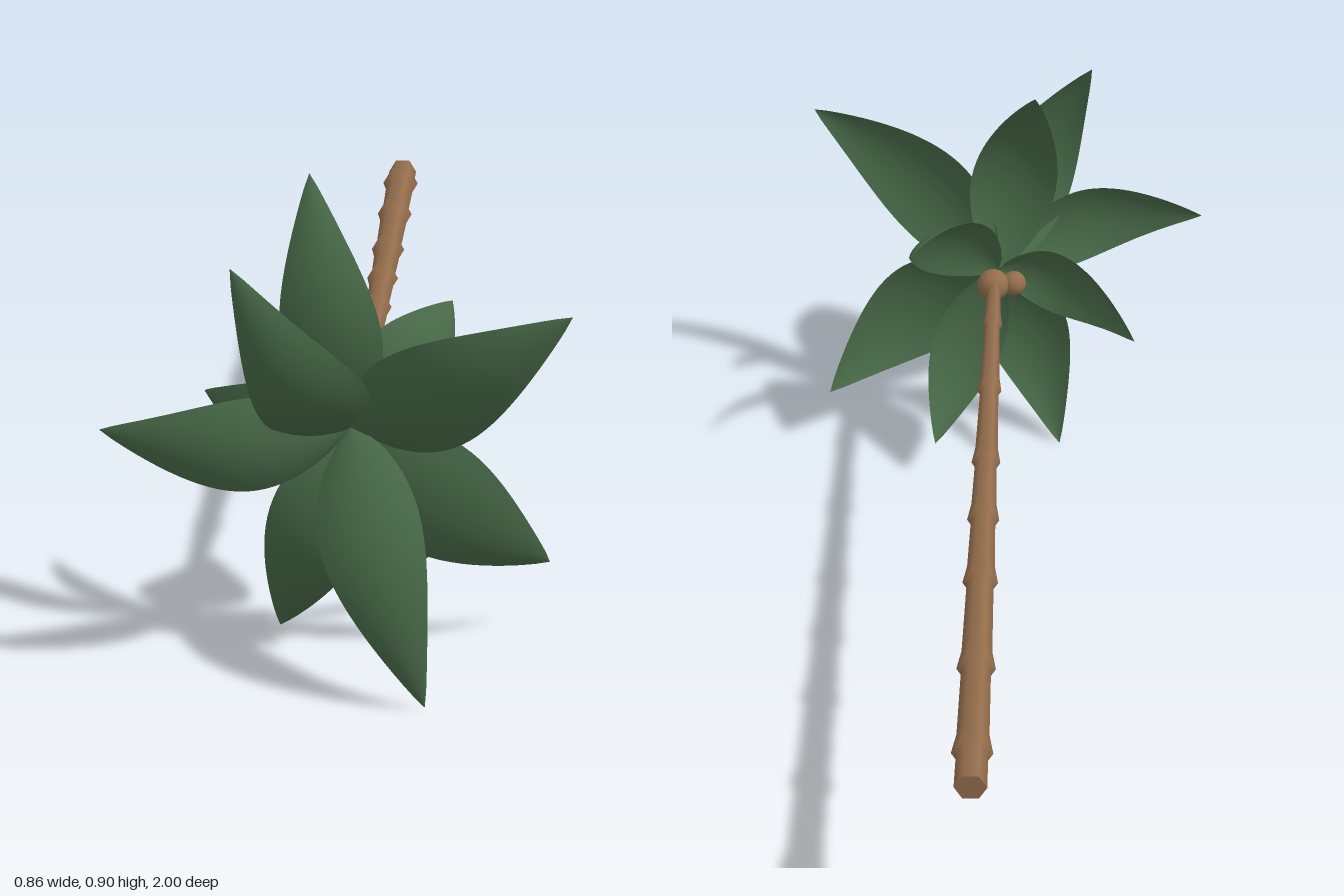
import * as THREE from 'three';

const leafMat = new THREE.MeshStandardMaterial({ color: 0x466746, side: THREE.DoubleSide });
const barkMat = new THREE.MeshStandardMaterial({ color: 0x946d4c });

const CROWN = new THREE.Vector3(0.02, 0.43, 0.69);

// Curved, pointed leaf: f and z place the bend between the crown and the tip
function makeLeaf(tip, f, z, halfWidth) {
  const bend = CROWN.clone().lerp(tip, f).setZ(z);
  const path = new THREE.QuadraticBezierCurve3(CROWN, bend, tip);
  const side = new THREE.Vector3(-(tip.y - CROWN.y), tip.x - CROWN.x, 0).normalize();
  const geo = new THREE.PlaneGeometry(1, 1, 10, 24);
  const pos = geo.attributes.position;
  for (let i = 0; i < pos.count; i++) {
    const u = pos.getX(i) * 2;
    const t = THREE.MathUtils.clamp(pos.getY(i) + 0.5, 0, 1);
    const w = Math.pow(Math.max(0, Math.sin(Math.PI * Math.pow(t, 0.76))), 0.87);
    const up = path.getTangent(t).cross(side).normalize();
    const p = path.getPoint(t)
      .addScaledVector(side, u * w * halfWidth)
      .addScaledVector(up, -0.026 * u * u * w);
    pos.setXYZ(i, p.x, p.y, p.z);
  }
  geo.computeVertexNormals();
  return new THREE.Mesh(geo, leafMat);
}

// Tapering six-sided trunk lying along z, with a flared ring at the foot of each section
function makeTrunk() {
  const joints = [-0.91, -0.67, -0.41, -0.21, -0.02, 0.23, 0.47];
  const radius = (z) => 0.031 - 0.0175 * Math.pow((z + 1) / 1.66, 1.5);
  const profile = [[0, -1], [radius(-1), -1], [radius(-1), -1]];
  for (const z of joints) {
    profile.push([radius(z) * 0.97, z], [radius(z) * 1.28, z + 0.003], [radius(z), z + 0.055]);
  }
  profile.push([radius(0.66), 0.66], [0, 0.66]);
  const points = profile.map(([r, z]) => new THREE.Vector2(r, z));
  const geo = new THREE.LatheGeometry(points, 6, Math.PI / 2);
  geo.rotateX(Math.PI / 2);
  const trunk = new THREE.Mesh(geo, barkMat);
  trunk.position.set(0.027, 0.43, 0);
  return trunk;
}

export function createModel() {
  const model = new THREE.Group();
  model.name = 'palmTree';

  const trunk = makeTrunk();
  trunk.name = 'trunk';
  model.add(trunk);

  // Nuts under the crown: x, y, z, radius
  for (const [x, y, z, r] of [[0.03, 0.42, 0.645, 0.035], [-0.015, 0.415, 0.66, 0.027]]) {
    const nut = new THREE.Mesh(new THREE.SphereGeometry(r, 16, 12), barkMat);
    nut.name = 'nut';
    nut.position.set(x, y, z);
    model.add(nut);
  }

  // Leaves: tip x, y, z, then bend fraction, bend z and half width
  const leaves = {
    frontLeaf: [
      [-0.18, 0.81, 0.915, 0.2, 1.01, 0.098],
      [0.43, 0.72, 0.88, 0.35, 0.935, 0.107],
      [-0.43, 0.475, 0.85, 0.37, 0.98, 0.093],
      [0.175, 0.005, 0.998, 0.22, 1.035, 0.098],
    ],
    middleLeaf: [
      [-0.06, 0.905, 0.63, 0.5, 0.865, 0.093],
      [0.395, 0.14, 0.62, 0.5, 0.845, 0.115],
      [-0.12, 0, 0.63, 0.5, 0.845, 0.096],
    ],
    backLeaf: [
      [-0.28, 0.41, 0.45, 0.65, 0.735, 0.078],
      [0.2, 0.61, 0.47, 0.85, 0.69, 0.088],
      [0.155, 0.09, 0.5, 0.7, 0.71, 0.078],
    ],
  };
  for (const [name, list] of Object.entries(leaves)) {
    for (const [x, y, z, f, bendZ, w] of list) {
      const leaf = makeLeaf(new THREE.Vector3(x, y, z), f, bendZ, w);
      leaf.name = name;
      model.add(leaf);
    }
  }
  return model;
}
